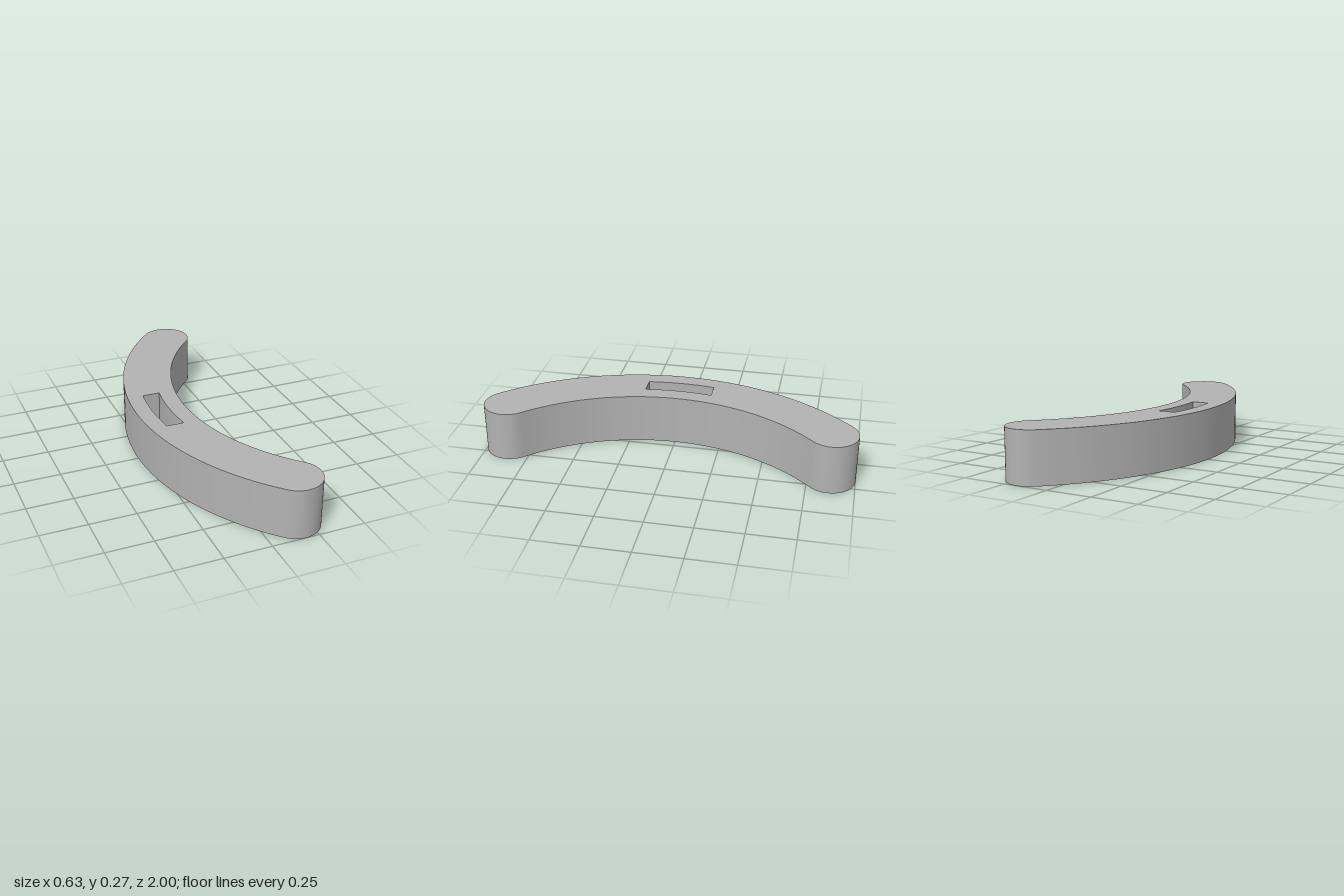
import * as THREE from 'three';
import { toCreasedNormals } from 'three/addons/utils/BufferGeometryUtils.js';

const HEIGHT = 0.272, FLOOR = 0.07;
const R = 1.224, HALF = 0.135, CX = 1.044; // centreline radius, half width, arc centre
const Q = Math.PI / 4;

// Points of an arc in plan (x, -z)
function arc(cx, cy, r, a0, a1, n) {
  return Array.from({ length: n + 1 }, (_, i) => {
    const a = a0 + ((a1 - a0) * i) / n;
    return new THREE.Vector2(cx + r * Math.cos(a), cy + r * Math.sin(a));
  });
}

// Flat horizontal face at height y
function flat(points, y, hole, down = false) {
  const shape = new THREE.Shape(points);
  if (hole) shape.holes.push(new THREE.Path(hole));
  const g = new THREE.ShapeGeometry(shape);
  if (down) g.index.array.reverse();
  g.rotateX(-Math.PI / 2).translate(0, y, 0);
  g.computeVertexNormals();
  return g;
}

// Closed vertical wall, facing outward for a counter-clockwise loop
function wall(points, y0, y1) {
  const pos = [];
  points.forEach((a, i) => {
    const b = points[(i + 1) % points.length];
    if (a.distanceTo(b) < 1e-6) return;
    const p = [[a, y0], [b, y0], [b, y1], [a, y0], [b, y1], [a, y1]];
    p.forEach(([v, y]) => pos.push(v.x, y, -v.y));
  });
  const g = new THREE.BufferGeometry();
  g.setAttribute('position', new THREE.Float32BufferAttribute(pos, 3));
  return toCreasedNormals(g, Math.PI / 6);
}

export function createModel() {
  const group = new THREE.Group();
  group.name = 'curvedBar';
  const grey = new THREE.MeshStandardMaterial({ color: 0xb2b2b2 });
  grey.name = 'grey';
  const add = (name, geometry) => {
    const mesh = new THREE.Mesh(geometry, grey);
    mesh.name = name;
    group.add(mesh);
  };

  // Quarter-circle bar with round ends
  const ex = CX - R * Math.cos(Q), ey = R * Math.sin(Q);
  const outline = [
    ...arc(CX, 0, R + HALF, 3 * Q, 5 * Q, 48),
    ...arc(ex, -ey, HALF, 5 * Q, 9 * Q, 32).slice(1),
    ...arc(CX, 0, R - HALF, 5 * Q, 3 * Q, 48).slice(1),
    ...arc(ex, ey, HALF, 7 * Q, 11 * Q, 32).slice(1, -1),
  ];

  // Curved slot with straight ends, sunk into the top
  const side = (r) => arc(CX, 0, r, Math.PI - Math.asin(0.186 / r), Math.PI + Math.asin(0.18 / r), 12);
  const slot = [...side(1.272), ...side(1.179).reverse()];

  add('barSides', wall(outline, 0, HEIGHT));
  add('barTop', flat(outline, HEIGHT, slot));
  add('barBottom', flat(outline, 0, null, true));
  add('slotWalls', wall([...slot].reverse(), FLOOR, HEIGHT));
  add('slotFloor', flat(slot, FLOOR));
  return group;
}
